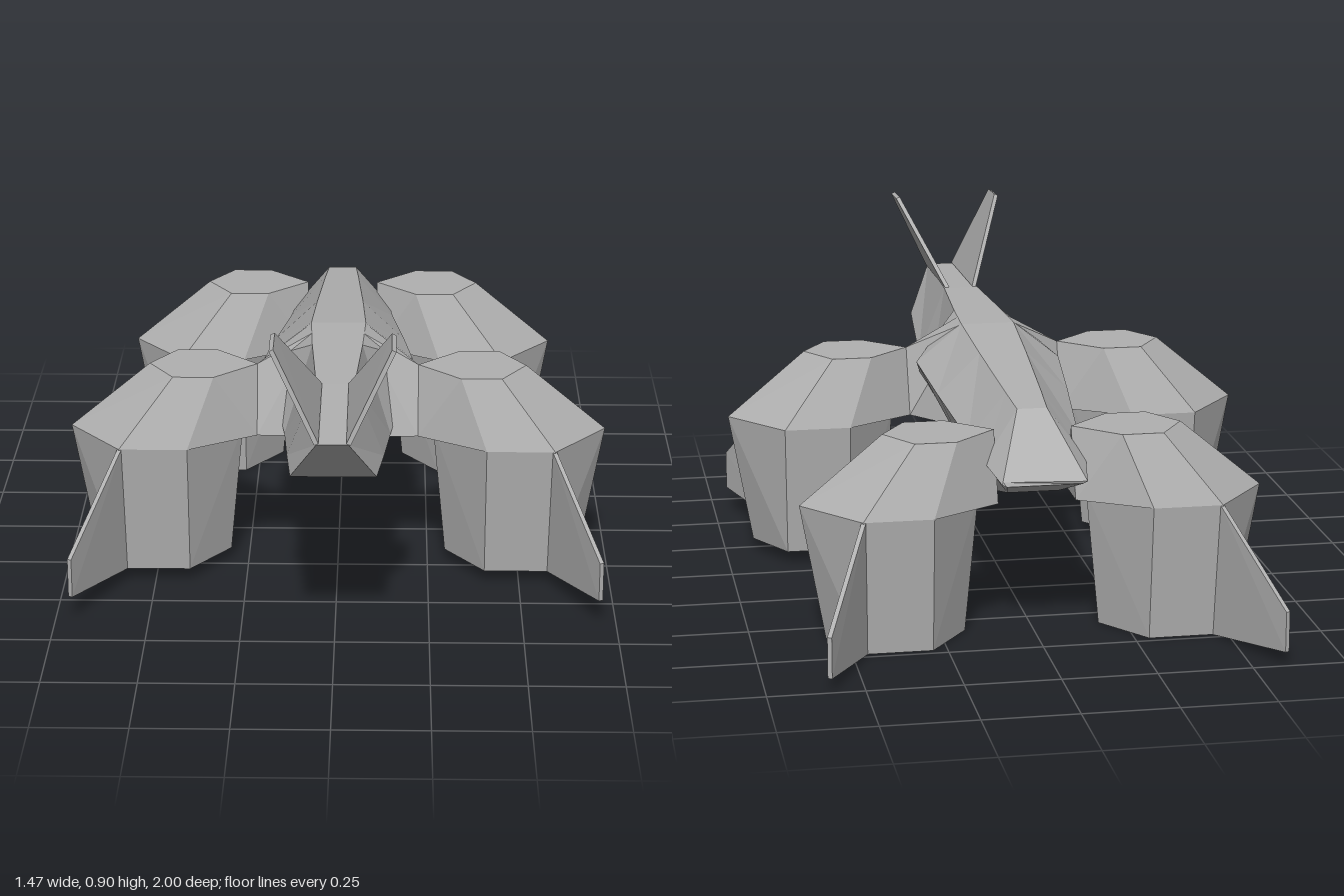
import * as THREE from 'three';
import { ConvexGeometry } from 'three/addons/geometries/ConvexGeometry.js';

const hullMetal = new THREE.MeshStandardMaterial({ color: 0xb0b0b0 });
hullMetal.name = 'grey hull';
hullMetal.flatShading = true;

// Convex solid through corner points, mirrored in x by side and shifted by offset
function solid(name, points, side = 1, offset = [0, 0, 0]) {
  const pts = points.map(([x, y, z]) =>
    new THREE.Vector3((x + offset[0]) * side, y + offset[1], z + offset[2]));
  const mesh = new THREE.Mesh(new ConvexGeometry(pts), hullMetal);
  mesh.name = name;
  return mesh;
}

// Thin four-cornered plate, as the corners moved both ways along its normal
function plateCorners(quad, thickness) {
  const v = quad.map((p) => new THREE.Vector3(...p));
  const n = v[1].clone().sub(v[0]).cross(v[3].clone().sub(v[0])).setLength(thickness / 2);
  return v.flatMap((p) => [p.clone().add(n).toArray(), p.clone().sub(n).toArray()]);
}

// Body sections, nose to tail: top, chine and belly corners of the +x half
const SECTIONS = [
  [[0.04, 0.66, 1.0], [0.11, 0.53, 0.89], [0.1, 0.528, 0.888]],
  [[0.05, 0.67, 0.6], [0.128, 0.47, 0.6], [0.1, 0.468, 0.6]],
  [[0.068, 0.67, 0.3], [0.145, 0.412, 0.3], [0.09, 0.405, 0.3]],
  [[0.075, 0.67, 0.12], [0.205, 0.565, 0.12], [0.09, 0.35, 0.12]],
  [[0.065, 0.645, -0.13], [0.183, 0.532, -0.13], [0.075, 0.305, -0.13]],
  [[0.048, 0.613, -0.45], [0.15, 0.49, -0.45], [0.072, 0.335, -0.42]],
  [[0.04, 0.6, -0.575], [0.136, 0.472, -0.62], [0.07, 0.38, -0.6]],
  [[0.108, 0.455, -0.758], [0.112, 0.45, -0.765], [0.1, 0.443, -0.762]],
];

function buildBody() {
  const rings = SECTIONS.map(([t, c, b]) => {
    const m = ([x, y, z]) => [-x, y, z];
    return [t, m(t), m(c), m(b), b, c];
  });
  const pos = [];
  const tri = (a, b, c) => pos.push(...a, ...b, ...c);
  for (let i = 0; i + 1 < rings.length; i++) {
    for (let j = 0; j < 6; j++) {
      const k = (j + 1) % 6;
      const a = rings[i][j], b = rings[i][k], c = rings[i + 1][k], d = rings[i + 1][j];
      if (j < 3) { tri(a, d, c); tri(a, c, b); } else { tri(a, d, b); tri(b, d, c); }
    }
  }
  const nose = rings[0], tail = rings[rings.length - 1];
  for (let j = 1; j < 5; j++) {
    tri(nose[0], nose[j], nose[j + 1]);
    tri(tail[0], tail[j + 1], tail[j]);
  }
  const g = new THREE.BufferGeometry();
  g.setAttribute('position', new THREE.Float32BufferAttribute(pos, 3));
  g.computeVertexNormals();
  const mesh = new THREE.Mesh(g, hullMetal);
  mesh.name = 'body';
  return mesh;
}

// Leg corners, given about the leg's own centre line z = 0
const TOP = [[0.515, 0.585, 0], [0.445, 0.585, 0.11], [0.335, 0.585, 0.11],
  [0.22, 0.585, 0], [0.335, 0.585, -0.11], [0.445, 0.585, -0.11]];
const MID = [[0.735, 0.402, 0], [0.59, 0.402, 0.182], [0.405, 0.402, 0.182],
  [0.405, 0.402, -0.182], [0.59, 0.402, -0.182]];
const SHOULDER_EDGE = [[0.22, 0.402, 0.07], [0.22, 0.402, -0.07]];
const FOOT = [[0.67, 0.035, 0], [0.585, 0.035, 0.147], [0.405, 0.035, 0.147],
  [0.298, 0.035, 0], [0.405, 0.035, -0.147], [0.585, 0.035, -0.147]];
const FIN = [[0.588, 0.402, 0.178], [0.707, 0.18, 0.415], [0.707, 0.072, 0.415], [0.583, 0.035, 0.145]];

function buildLeg(name, side, offset, finDir) {
  const leg = new THREE.Group();
  leg.name = name;
  const fin = plateCorners(FIN.map(([x, y, z]) => [x, y, z * finDir]), 0.012);
  leg.add(
    solid('upperLeg', [...TOP, ...MID, ...SHOULDER_EDGE], side, offset),
    solid('lowerLeg', [...MID, [0.262, 0.402, 0], ...FOOT], side, offset),
    solid('legFin', fin, side, offset),
  );
  return leg;
}

// Blocks joining the front legs to the body
const SHOULDER = [[0.22, 0.585, 0.22], [0.22, 0.402, 0.29], [0.22, 0.402, 0.15],
  [0.072, 0.67, 0.12], [0.072, 0.67, 0.21], [0.05, 0.4, 0.29], [0.05, 0.36, 0.12]];

const NOSE_FIN = [[0.04, 0.67, 0.6], [0.152, 0.9, 0.855], [0.152, 0.895, 0.965], [0.04, 0.66, 0.998]];

export function createModel() {
  const model = new THREE.Group();
  model.name = 'walkerCraft';
  model.add(buildBody());
  for (const side of [1, -1]) {
    const label = side > 0 ? 'left' : 'right';
    model.add(
      solid(label + 'Shoulder', SHOULDER, side),
      solid(label + 'NoseFin', plateCorners(NOSE_FIN, 0.012), side),
      buildLeg(label + 'FrontLeg', side, [0, 0, 0.22], 1),
      buildLeg(label + 'RearLeg', side, [-0.117, -0.035, -0.583], -1),
    );
  }
  return model;
}
